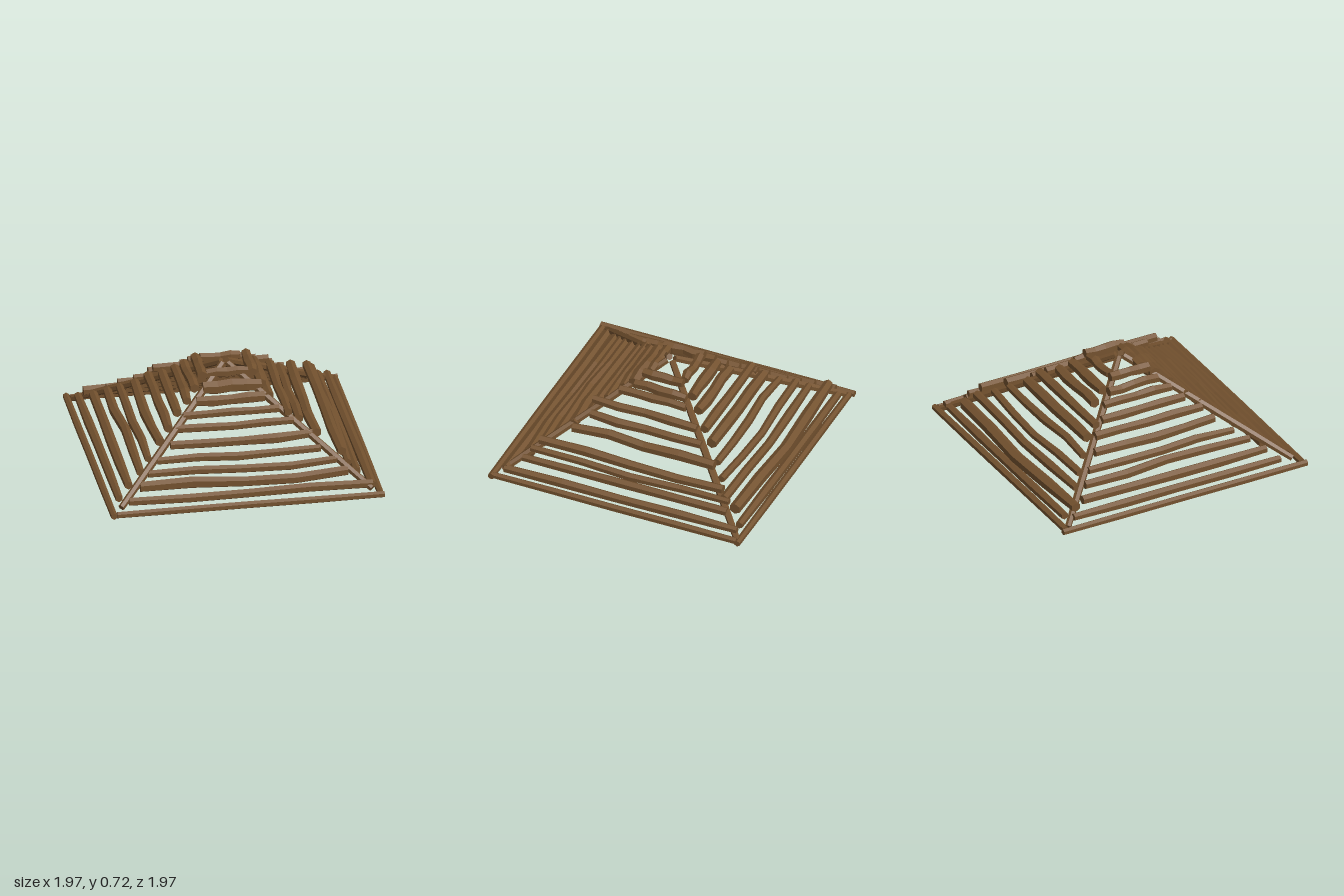
import * as THREE from 'three';

const wood = new THREE.MeshStandardMaterial({ color: 0x74522f, flatShading: true });
wood.name = 'brown wood';

let seed = 7;
const rand = () => {
  seed = (seed * 16807) % 2147483647;
  return seed / 2147483647 - 0.5;
};

// Height of each course of logs, from the ground to the top
const heights = [0.04, 0.09, 0.15, 0.21, 0.27, 0.34, 0.41, 0.48, 0.54, 0.6, 0.67];

// Each log: distance from centre, start, end, radius, then outward bends at 1/4, 1/2, 3/4
const sides = {
  front: [
    [0.955, -0.94, 0.98, 0.027], [0.865, -0.84, 0.91, 0.033],
    [0.76, -0.74, 0.75, 0.042, 0, 0.02, 0.03], [0.69, -0.67, 0.69, 0.033, -0.01, 0.01, 0.02],
    [0.61, -0.59, 0.58, 0.031, 0, 0.02, 0.01], [0.515, -0.48, 0.54, 0.037, 0.01, 0.01, 0.02],
    [0.42, -0.43, 0.42, 0.034], [0.345, -0.36, 0.33, 0.032],
    [0.26, -0.25, 0.24, 0.042], [0.18, -0.19, 0.23, 0.047], [0.09, -0.15, 0.15, 0.036],
  ],
  back: [
    [0.955, -0.94, 0.98, 0.027], [0.915, -0.85, 0.84, 0.033],
    [0.83, -0.87, 0.75, 0.044, 0.02, 0.03, 0.01], [0.75, -0.72, 0.74, 0.033, 0.01, 0.02, 0],
    [0.675, -0.65, 0.62, 0.03, 0.01, 0.03, 0.01], [0.6, -0.55, 0.53, 0.033, -0.02, 0, 0.01],
    [0.51, -0.46, 0.43, 0.043], [0.43, -0.44, 0.39, 0.036],
    [0.335, -0.26, 0.28, 0.04], [0.26, -0.22, 0.22, 0.042], [0.165, -0.15, 0.14, 0.036],
  ],
  left: [
    [0.955, -0.94, 0.96, 0.027], [0.9, -0.92, 0.88, 0.033],
    [0.81, -0.8, 0.78, 0.034], [0.76, -0.8, 0.74, 0.03, 0, 0.01, 0],
    [0.72, -0.73, 0.69, 0.035, 0.01, 0, -0.01], [0.575, -0.6, 0.5, 0.042, -0.01, 0, -0.02],
    [0.47, -0.45, 0.41, 0.034], [0.385, -0.38, 0.43, 0.034],
    [0.27, -0.24, 0.27, 0.034], [0.24, -0.23, 0.17, 0.036], [0.18, -0.18, 0.13, 0.038],
  ],
  right: [
    [0.965, -0.99, 0.98, 0.027], [0.9, -0.87, 0.8, 0.034],
    [0.815, -0.75, 0.73, 0.036], [0.72, -0.68, 0.65, 0.034, 0.01, -0.01, 0],
    [0.645, -0.61, 0.56, 0.032, 0, 0.01, 0], [0.55, -0.51, 0.46, 0.036, 0.01, 0.02, 0.01],
    [0.47, -0.46, 0.4, 0.037], [0.39, -0.36, 0.3, 0.034],
    [0.31, -0.3, 0.24, 0.036], [0.25, -0.23, 0.17, 0.036], [0.18, -0.18, 0.13, 0.038],
  ],
};

const place = {
  front: (s, y, d) => new THREE.Vector3(s, y, d),
  back: (s, y, d) => new THREE.Vector3(s, y, -d),
  left: (s, y, d) => new THREE.Vector3(d, y, s),
  right: (s, y, d) => new THREE.Vector3(-d, y, s),
};

// Six-sided log whose rings follow a list of centre points
function makeLog(name, centres, radius, wobble) {
  const n = centres.length - 1;
  const geometry = new THREE.CylinderGeometry(1, 1, 1, 6, n);
  const dir = centres[n].clone().sub(centres[0]).normalize();
  const u = new THREE.Vector3(0, 1, 0).cross(dir).normalize();
  const v = u.clone().cross(dir);
  const radii = centres.map((_, i) => radius * (i % n ? 1 : 0.9) * (1 + wobble * rand()));
  const pos = geometry.attributes.position;
  for (let i = 0; i < pos.count; i++) {
    const ring = Math.round((pos.getY(i) + 0.5) * n);
    const p = centres[ring].clone()
      .addScaledVector(u, pos.getX(i) * radii[ring])
      .addScaledVector(v, pos.getZ(i) * radii[ring]);
    pos.setXYZ(i, p.x, p.y, p.z);
  }
  geometry.computeVertexNormals();
  const mesh = new THREE.Mesh(geometry, wood);
  mesh.name = name;
  return mesh;
}

export function createModel() {
  seed = 7;
  const model = new THREE.Group();
  model.name = 'logRoof';

  // Courses of horizontal logs on the four slopes
  for (const [side, logs] of Object.entries(sides)) {
    const slope = new THREE.Group();
    slope.name = side + 'Slope';
    logs.forEach(([d, start, end, r, ...bend], row) => {
      const bends = [0, bend[0] ?? 0, bend[1] ?? 0, bend[2] ?? 0, 0];
      const rough = row ? 0.012 : 0.003;
      const centres = bends.map((b, i) => place[side](
        start + (end - start) * i / 4,
        heights[row] + rough * rand() - b * 0.4,
        d + b + rough * rand(),
      ));
      slope.add(makeLog(side + 'Log' + (row + 1), centres, r, row ? 0.2 : 0.06));
    });
    model.add(slope);
  }

  // Hip poles from the corners to the peak
  for (const [sx, sz, reach] of [[1, 1, 0.9], [-1, 1, 0.9], [1, -1, 0.94], [-1, -1, 0.93]]) {
    const centres = [0, 0.25, 0.5, 0.75, 1].map((t) => {
      const d = THREE.MathUtils.lerp(reach, 0.02, t);
      return new THREE.Vector3(sx * d, 0.045 + (0.93 - d) * 0.725, sz * d);
    });
    model.add(makeLog('hipPole', centres, 0.027, 0.1));
  }
  return model;
}
